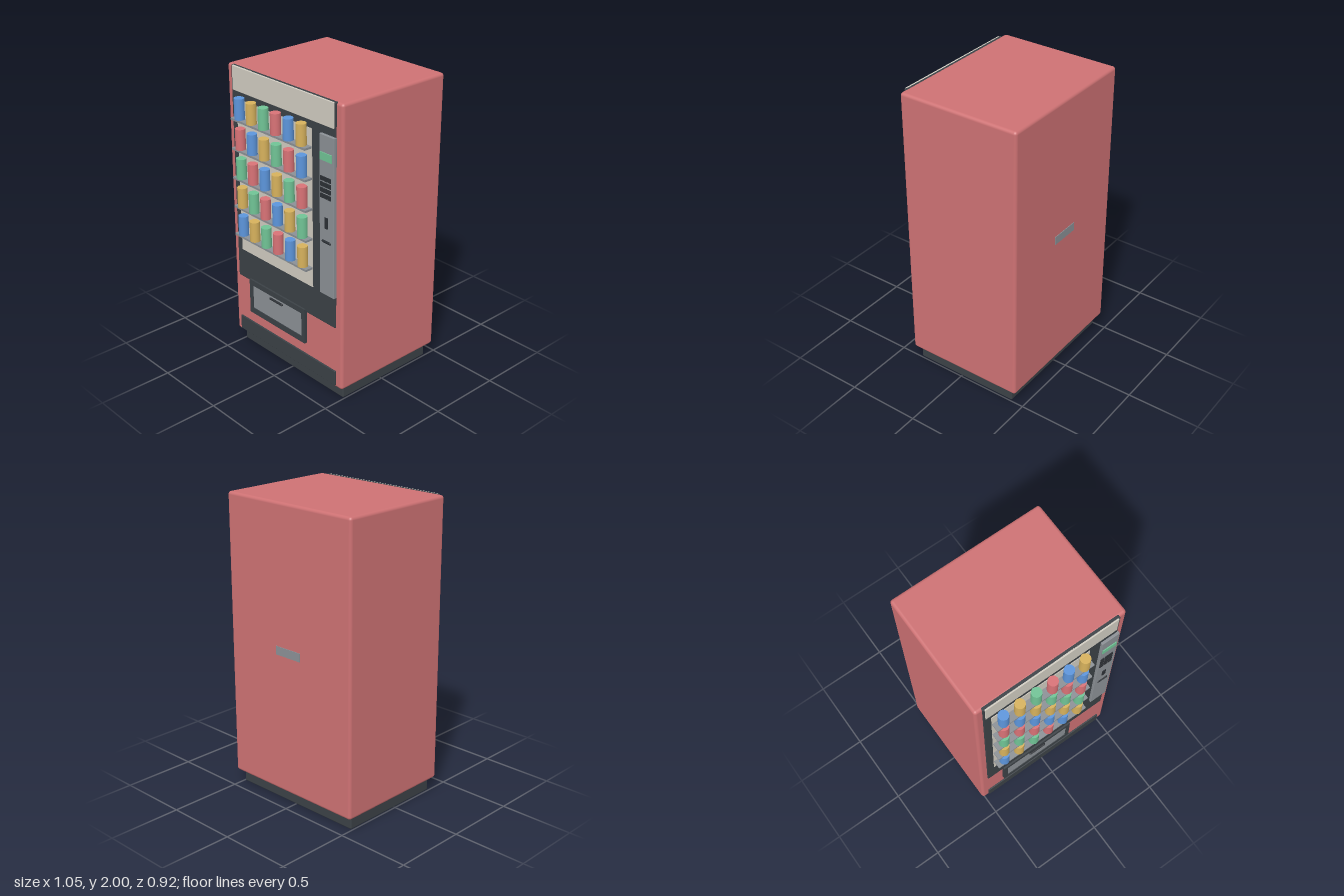
import * as THREE from 'three';
import { RoundedBoxGeometry } from 'three/addons/geometries/RoundedBoxGeometry.js';

const mat = (name, color) => {
  const m = new THREE.MeshStandardMaterial({ color });
  m.name = name;
  return m;
};

export function createModel() {
  const red = mat('cabinet red', 0xcd7173);
  const dark = mat('charcoal', 0x3b4146);
  const black = mat('key black', 0x2c3035);
  const cream = mat('cream', 0xd0cbc0);
  const grey = mat('metal grey', 0x8b9095);
  const blue = mat('can blue', 0x5c95db);
  const yellow = mat('can yellow', 0xd6b15c);
  const green = mat('green', 0x70c395);
  const canRed = mat('can red', 0xd87276);

  const model = new THREE.Group();
  model.name = 'vendingMachine';

  const add = (name, geometry, material, x, y, z, parent = model) => {
    const mesh = new THREE.Mesh(geometry, material);
    mesh.name = name;
    mesh.position.set(x, y, z);
    parent.add(mesh);
    return mesh;
  };
  // Box given by its limits on each axis, with optional rounded edges
  const box = (name, material, [x0, x1], [y0, y1], [z0, z1], r = 0, parent = model) => {
    const s = [x1 - x0, y1 - y0, z1 - z0];
    const g = r ? new RoundedBoxGeometry(...s, 3, r) : new THREE.BoxGeometry(...s);
    return add(name, g, material, (x0 + x1) / 2, (y0 + y1) / 2, (z0 + z1) / 2, parent);
  };
  // Horizontal bar with round ends
  const bar = (name, length, radius, x, y, z) => {
    const m = add(name, new THREE.CapsuleGeometry(radius, length - 2 * radius, 4, 12), black, x, y, z);
    m.rotation.z = Math.PI / 2;
    return m;
  };

  // Cabinet and plinth
  box('cabinet', red, [-0.525, 0.525], [0.09, 2], [-0.456, 0.382], 0.02);
  box('plinth', dark, [-0.493, 0.493], [0, 0.088], [-0.41, 0.34], 0.01);
  box('backPlate', grey, [-0.105, 0.105], [1.028, 1.085], [-0.46, -0.45]);

  // Door front, header and display window
  box('doorPanel', dark, [-0.475, 0.472], [0.53, 1.999], [0.365, 0.391], 0.004);
  box('header', cream, [-0.463, 0.461], [1.84, 1.999], [0.38, 0.396], 0.003);
  box('windowPanel', cream, [-0.425, 0.272], [0.74, 1.79], [0.385, 0.395]);
  box('kickPlate', dark, [-0.475, 0.472], [0.11, 0.213], [0.37, 0.392], 0.003);

  // Shelves, each with a row of cans
  const canColors = [blue, yellow, green, canRed];
  const canGeometry = new THREE.CylinderGeometry(0.033, 0.033, 0.138, 20);
  for (let r = 0; r < 5; r++) {
    const row = new THREE.Group();
    row.name = 'shelfRow';
    model.add(row);
    const top = 1.68 - r * 0.2;
    box('shelf', grey, [-0.423, 0.272], [top - 0.014, top], [0.39, 0.45], 0, row);
    for (let c = 0; c < 6; c++) {
      add('can', canGeometry, canColors[(c - r + 8) % 4], -0.364 + c * 0.1156, top + 0.069, 0.425, row);
    }
  }

  // Control panel with display, keypad and slots
  box('controlPanel', grey, [0.352, 0.478], [0.745, 1.79], [0.385, 0.408], 0.003);
  box('display', green, [0.362, 0.463], [1.633, 1.682], [0.404, 0.414]);
  for (let r = 0; r < 4; r++) {
    for (let c = 0; c < 3; c++) {
      const x = 0.376 + c * 0.032, y = 1.518 - r * 0.037;
      box('key', black, [x - 0.013, x + 0.013], [y - 0.014, y + 0.014], [0.404, 0.413]);
    }
  }
  box('noteSlot', black, [0.4, 0.426], [1.2, 1.272], [0.404, 0.413]);
  bar('coinSlot', 0.08, 0.01, 0.413, 1.11, 0.406);

  // Collection hatch: frame with an opening, flap and handle
  const frame = new THREE.Shape();
  frame.moveTo(-0.352, 0.298).lineTo(0.198, 0.298).lineTo(0.198, 0.548).lineTo(-0.352, 0.548).closePath();
  const opening = new THREE.Path();
  opening.moveTo(-0.32, 0.34).lineTo(-0.32, 0.51).lineTo(0.168, 0.51).lineTo(0.168, 0.34).closePath();
  frame.holes.push(opening);
  add('hatchFrame', new THREE.ExtrudeGeometry(frame, { depth: 0.03, bevelEnabled: false }), dark, 0, 0, 0.373);
  box('hatchFlap', grey, [-0.321, 0.169], [0.339, 0.511], [0.375, 0.398]);
  bar('hatchHandle', 0.13, 0.008, -0.077, 0.49, 0.405);

  return model;
}
